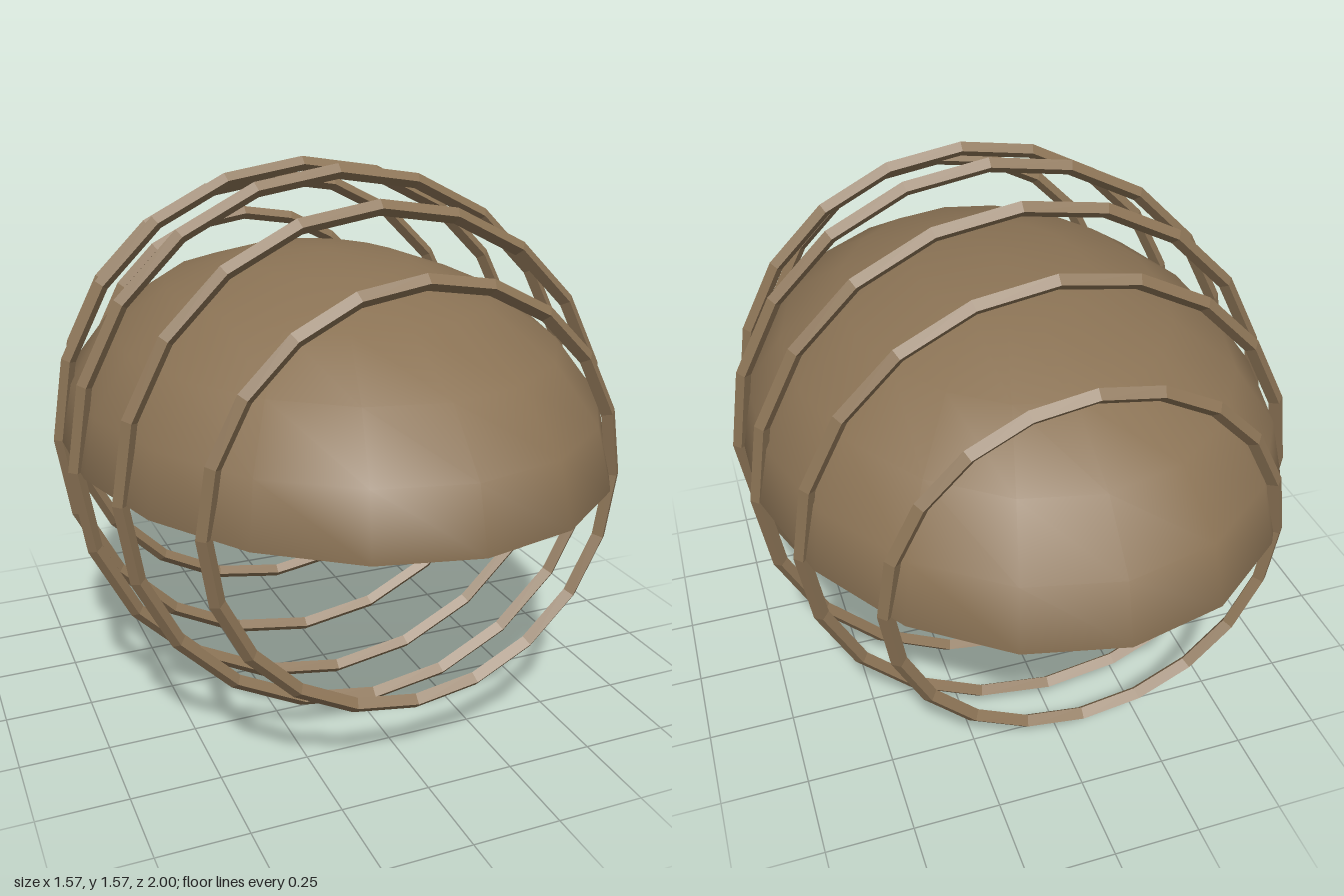
import * as THREE from 'three';

export function createModel() {
  const model = new THREE.Group();
  const wood = new THREE.MeshStandardMaterial({ color: 0x8b7355 });
  wood.name = 'brown wood';
  const hoopWood = wood.clone(); // same colour, faceted
  hoopWood.flatShading = true;

  const axisY = 0.788, halfWidth = 0.766, domeHeight = 0.535;

  const add = (name, geometry, material, y, z = 0) => {
    const mesh = new THREE.Mesh(geometry, material);
    mesh.name = name;
    mesh.position.set(0, y, z);
    model.add(mesh);
  };

  // Half-ellipsoid shell, with a vertex column at each end of the long axis
  const dome = new THREE.SphereGeometry(1, 18, 5, 0, Math.PI * 2, 0, Math.PI / 2);
  dome.rotateY(Math.PI / 2).scale(halfWidth, domeHeight, 1);
  add('dome', dome, wood, axisY);

  // Flat underside closing the shell
  const base = new THREE.CircleGeometry(1, 18);
  base.rotateX(Math.PI / 2).rotateY(Math.PI / 2).scale(halfWidth, 1, 1);
  add('domeBase', base, wood, axisY);

  // Hoops along the long axis: [z, radius]
  const tube = 0.0215;
  const hoops = [[0.66, 0.57], [0.385, 0.706], [0.11, 0.764], [-0.165, 0.754], [-0.44, 0.684], [-0.715, 0.529]];
  hoops.forEach(([z, radius], i) => {
    add(`hoop${i + 1}`, new THREE.TorusGeometry(radius, tube, 4, 20), hoopWood, axisY, z);
  });

  return model;
}
